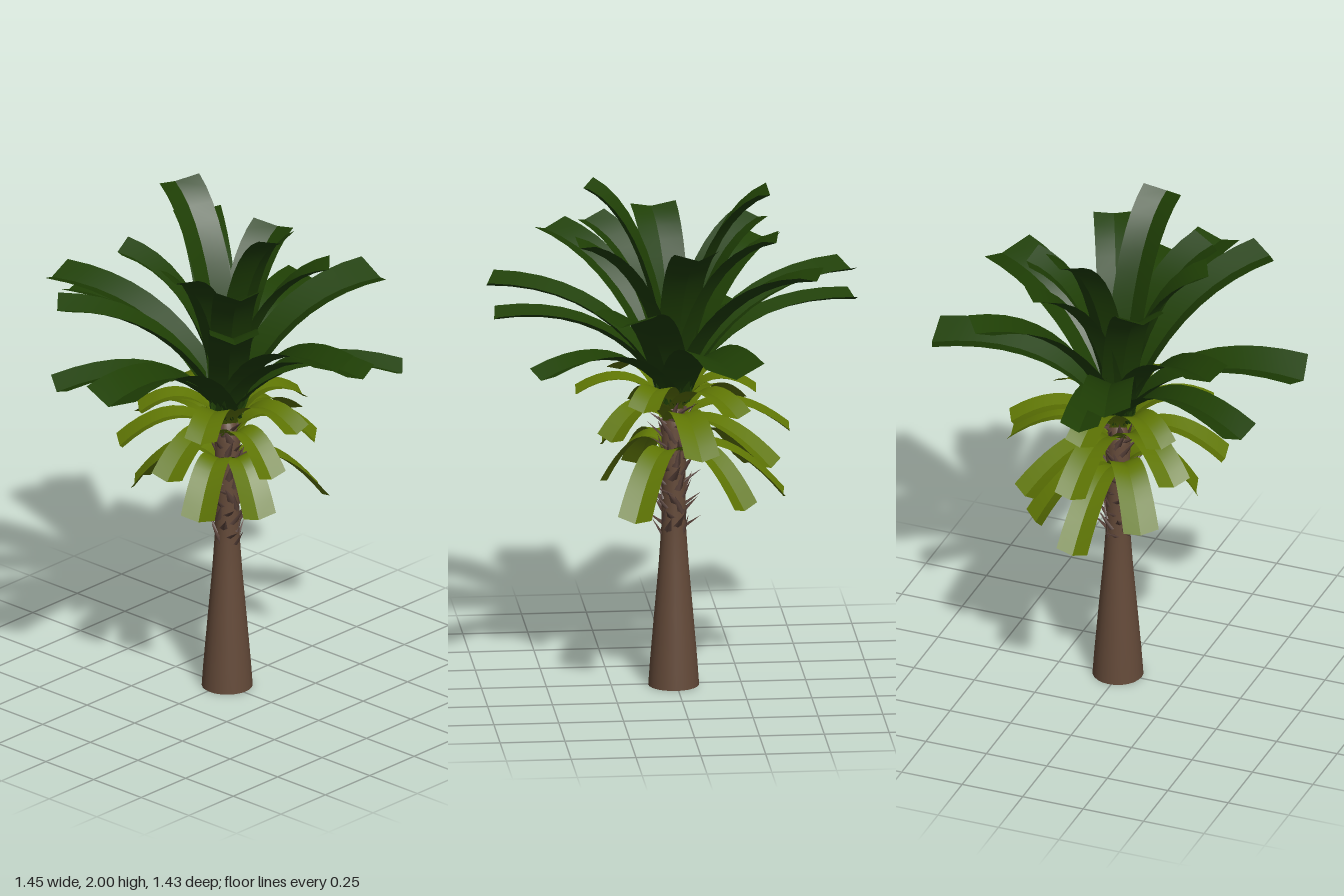
import * as THREE from 'three';

const mat = (name, color, side = THREE.FrontSide) => {
  const m = new THREE.MeshStandardMaterial({ color, side });
  m.name = name;
  return m;
};

const CX = 0.01, CZ = 0.01; // trunk axis

// A leaf blade folded along its midrib, swept along a drooping arc.
// Each half keeps its own vertices so the fold stays sharp; the midrib runs a little past the edges.
function frondGeometry(base, control, tip, w0, w1, fold, segments = 10) {
  const curve = new THREE.QuadraticBezierCurve3(base, control, tip);
  const out = new THREE.Vector3(tip.x - base.x, 0, tip.z - base.z).normalize();
  const side = new THREE.Vector3(out.z, 0, -out.x);
  const positions = [], index = [];
  for (const s of [-1, 1]) {
    const start = positions.length / 3;
    for (let i = 0; i <= segments; i++) {
      const t = i / segments;
      const p = curve.getPoint(t);
      const tangent = curve.getTangent(t);
      const normal = tangent.clone().cross(side).normalize();
      const half = (w0 + (w1 - w0) * Math.pow(t, 0.7)) / 2;
      const mid = p.clone().addScaledVector(normal, -fold * half * 0.5).addScaledVector(tangent, 0.1 * w1 * t);
      const edge = p.clone().addScaledVector(normal, fold * half * 0.5).addScaledVector(side, s * half);
      positions.push(...mid.toArray(), ...edge.toArray());
      if (i < segments) {
        const a = start + i * 2;
        if (s > 0) index.push(a, a + 2, a + 1, a + 1, a + 2, a + 3);
        else index.push(a, a + 1, a + 2, a + 1, a + 3, a + 2);
      }
    }
  }
  const g = new THREE.BufferGeometry();
  g.setAttribute('position', new THREE.Float32BufferAttribute(positions, 3));
  g.setIndex(index);
  g.computeVertexNormals();
  return g;
}

// Builds a ring of fronds from tips [x, y, z, width]
function frondRing(name, tips, material, { baseY, baseR, controlY, reach, w0, fold }) {
  const group = new THREE.Group();
  group.name = name;
  for (const [x, y, z, width] of tips) {
    const tip = new THREE.Vector3(x, y, z);
    const dx = x - CX, dz = z - CZ, r = Math.hypot(dx, dz);
    const base = new THREE.Vector3(CX + dx / r * baseR, baseY, CZ + dz / r * baseR);
    const control = new THREE.Vector3(CX + dx * reach, controlY(y), CZ + dz * reach);
    const mesh = new THREE.Mesh(frondGeometry(base, control, tip, w0, width, fold), material);
    mesh.name = 'frond';
    group.add(mesh);
  }
  return group;
}

export function createModel() {
  const model = new THREE.Group();
  model.name = 'palmTree';
  const bark = mat('bark brown', 0x644a39);
  const husk = mat('husk brown', 0x5a433b, THREE.DoubleSide);
  const green = mat('leaf green', 0x1f3f05, THREE.DoubleSide);
  const lime = mat('old leaf lime', 0x5f7604, THREE.DoubleSide);

  // Trunk, flared at the foot
  const profile = [[0.098, 0], [0.091, 0.1], [0.074, 0.3], [0.058, 0.48], [0.047, 0.64],
    [0.046, 0.85], [0.048, 1.03], [0.03, 1.11], [0, 1.12]].map(([r, y]) => new THREE.Vector2(r, y));
  const trunk = new THREE.Mesh(new THREE.LatheGeometry(profile, 24), bark);
  trunk.name = 'trunk';
  trunk.position.set(CX, 0, CZ);
  const foot = new THREE.Mesh(new THREE.CircleGeometry(0.098, 24).rotateX(Math.PI / 2), bark);
  foot.name = 'trunkFoot';
  foot.position.set(CX, 0, CZ);
  model.add(trunk, foot);

  // Spiky leaf stubs spiralling up the upper trunk
  const stubs = new THREE.Group();
  stubs.name = 'leafStubs';
  const stubShape = new THREE.ConeGeometry(0.018, 0.09, 4).scale(1, 1, 0.4).translate(0, 0.035, 0);
  for (let i = 0; i < 70; i++) {
    const stub = new THREE.Mesh(stubShape, husk);
    const a = i * 2.4, lean = 0.55 + 0.45 * Math.sin(i * 5.3);
    stub.name = 'leafStub';
    stub.position.set(CX + Math.sin(a) * 0.043, 0.6 + i * 0.0072, CZ + Math.cos(a) * 0.043);
    stub.rotation.set(lean, a, 0.5 * Math.sin(i * 3.7), 'YXZ');
    stubs.add(stub);
  }
  model.add(stubs);

  // Green crown
  const crown = { baseY: 1.13, baseR: 0.005, controlY: y => 1.5 + (y - 1.45) * 0.55, reach: 0.32, w0: 0.13, fold: 0.38 };
  model.add(
    frondRing('lowerCrown', [
      [-0.71, 1.45, 0.075, 0.24], [0.69, 1.44, -0.16, 0.24], [-0.21, 1.59, -0.68, 0.2], [-0.11, 1.5, -0.69, 0.15],
      [-0.13, 1.59, 0.7, 0.19], [0.03, 1.5, 0.69, 0.16], [-0.61, 1.36, -0.29, 0.17], [0.4, 1.36, 0.55, 0.15]],
    green, { ...crown, controlY: y => 1.52 + (y - 1.45) * 0.55 }),
    frondRing('middleCrown', [
      [0.57, 1.62, 0.26, 0.24], [-0.51, 1.64, -0.37, 0.19], [0.38, 1.72, -0.49, 0.18], [-0.42, 1.72, 0.45, 0.19]],
    green, crown),
    frondRing('upperCrown', [
      [-0.32, 1.82, 0.06, 0.18], [0.34, 1.8, -0.05, 0.18], [0.2, 1.82, -0.35, 0.16], [-0.22, 1.8, -0.32, 0.18],
      [-0.24, 1.8, 0.31, 0.18], [0.17, 1.81, 0.37, 0.16], [0.1, 1.98, -0.33, 0.18], [-0.05, 1.98, 0.33, 0.17]],
    green, { ...crown, reach: 0.25, controlY: y => 1.7 + (y - 1.8) * 0.85 }));

  // Old lime fronds hanging below the crown
  const old = { baseR: 0.025, reach: 0.45, w0: 0.1, fold: 0.25 };
  model.add(
    frondRing('upperSkirt', [
      [0, 1.18, 0.38, 0.13], [-0.32, 1.18, 0.18, 0.13], [0.28, 1.18, 0.15, 0.13], [0.36, 1.17, -0.2, 0.13],
      [-0.25, 1.18, -0.2, 0.13], [0.04, 1.18, -0.3, 0.13]], lime,
    { ...old, baseY: 1.11, controlY: y => y + 0.13 }),
    frondRing('middleSkirt', [
      [0.42, 1.02, -0.06, 0.14], [-0.4, 1.02, 0.08, 0.14], [0.22, 1.05, 0.27, 0.14], [-0.03, 0.97, 0.28, 0.13],
      [-0.32, 1.05, -0.24, 0.14], [0.03, 1.02, -0.43, 0.13], [0.25, 0.94, -0.34, 0.14]], lime,
    { ...old, baseY: 1.06, controlY: y => y + 0.2 }),
    frondRing('lowerSkirt', [
      [0.35, 0.76, 0.19, 0.14], [0.25, 0.77, -0.24, 0.14], [-0.08, 0.81, 0.26, 0.14], [-0.27, 0.82, 0.12, 0.14],
      [-0.2, 0.83, -0.28, 0.14], [0.03, 0.76, -0.41, 0.13]], lime,
    { ...old, baseY: 0.94, controlY: y => y + 0.28 }));

  return model;
}
